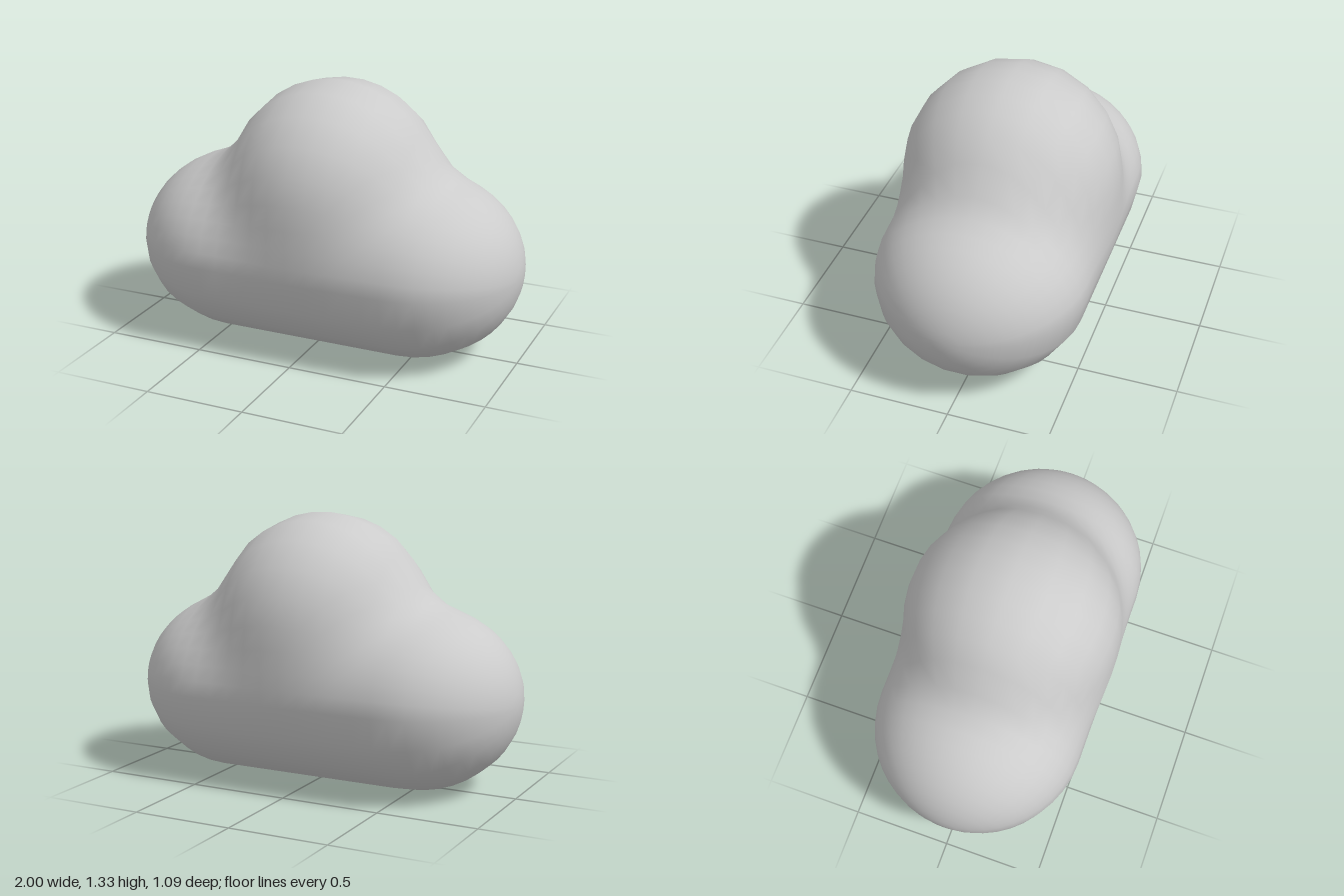
import * as THREE from 'three';
import { mergeVertices } from 'three/addons/utils/BufferGeometryUtils.js';

const CENTRE_Y = 0.457, RX = 0.53, RY = 0.457;

// Distance-like field: a lying capsule softly blended with a ball on top
function field(x, y, z) {
  const cx = Math.max(Math.abs(x) - 0.47, 0);
  const lower = Math.hypot(cx, (y - CENTRE_Y) * RX / RY, z) - RX;
  const upper = Math.hypot(x - 0.03, y - 0.8, z) - 0.54;
  const k = 0.16, h = Math.max(k - Math.abs(lower - upper), 0) / k;
  return Math.min(lower, upper) - h * h * k / 4;
}

// Reach of the body from its axis in one direction
function reach(x, dy, dz) {
  let lo = 0, hi = 2.5;
  for (let i = 0; i < 30; i++) {
    const mid = (lo + hi) / 2;
    if (field(x, CENTRE_Y + dy * mid, dz * mid) < 0) lo = mid; else hi = mid;
  }
  return lo;
}

// Cross-sections along x: fine steps above, broad facets underneath
function bodyGeometry() {
  const angles = [];
  for (let a = -90; a <= 90; a += 10) angles.push(a);
  for (let a = 110; a <= 250; a += 20) angles.push(a);
  const rings = 32, n = angles.length, positions = [], index = [];
  for (let i = 0; i <= rings; i++) {
    const x = -Math.cos(Math.PI * i / rings);
    for (const a of angles) {
      const t = THREE.MathUtils.degToRad(a);
      const dy = Math.cos(t) * RY, dz = Math.sin(t) * RX;
      const r = i === 0 || i === rings ? 0 : reach(x, dy, dz);
      positions.push(x, CENTRE_Y + dy * r, dz * r);
    }
  }
  for (let i = 0; i < rings; i++) {
    for (let j = 0; j < n; j++) {
      const a = i * n + j, b = i * n + (j + 1) % n, c = a + n, d = b + n;
      if (i > 0) index.push(a, b, c);
      if (i < rings - 1) index.push(b, d, c);
    }
  }
  let geometry = new THREE.BufferGeometry();
  geometry.setAttribute('position', new THREE.Float32BufferAttribute(positions, 3));
  geometry.setIndex(index);
  geometry = mergeVertices(geometry, 1e-5);
  geometry.computeVertexNormals();
  return geometry;
}

export function createModel() {
  const group = new THREE.Group();
  group.name = 'cloud';
  const body = new THREE.Mesh(bodyGeometry(), new THREE.MeshStandardMaterial({ color: 0xcccccc }));
  body.name = 'cloudBody';
  group.add(body);
  return group;
}
